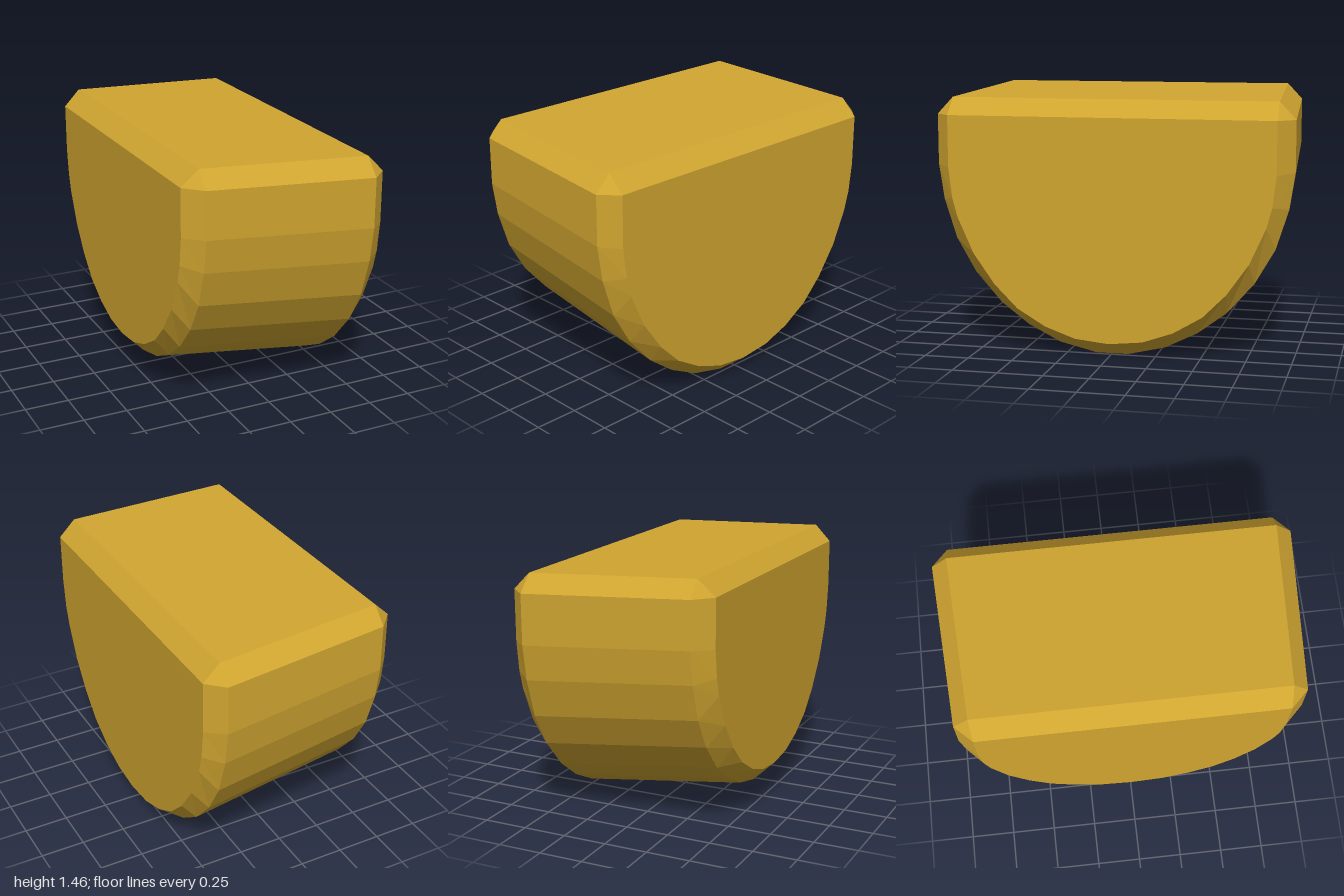
import * as THREE from 'three';

// Half outlines as [z, y], from the top corner down to the bottom centre
const RIM = [[0.91, 1.415], [1, 1.32], [1, 1.04], [0.97, 0.84], [0.9, 0.62], [0.79, 0.43],
  [0.64, 0.26], [0.48, 0.14], [0.3, 0.05], [0.09, 0], [0, 0]];
const CAP = [[0.91, 1.32], [0.91, 1.32], [0.91, 1.03], [0.89, 0.86], [0.86, 0.75], [0.77, 0.55],
  [0.65, 0.38], [0.52, 0.25], [0.36, 0.155], [0.19, 0.095], [0, 0.075]];

// Mirrored closed section at x, scaled about the shoulder height
function section(half, x, scale, shoulderY) {
  const place = ([z, y]) => {
    const k = y > 1.32 ? 0.95 : scale;
    return new THREE.Vector3(x, shoulderY + (y - 1.32) * (shoulderY === 1.32 ? 1 : k), z * scale);
  };
  const mirrored = half.slice(0, -1).reverse().map(([z, y]) => [-z, y]);
  return [...half, ...mirrored].map(place);
}

// Join sections with quads and close both ends
function loft(sections) {
  const positions = [];
  const tri = (a, b, c) => {
    const area = b.clone().sub(a).cross(c.clone().sub(a)).length();
    if (area > 1e-7) for (const p of [a, b, c]) positions.push(p.x, p.y, p.z);
  };
  const n = sections[0].length;
  for (let s = 0; s < sections.length - 1; s++) {
    const a = sections[s], b = sections[s + 1];
    for (let i = 0; i < n; i++) {
      const j = (i + 1) % n;
      tri(a[i], a[j], b[j]);
      tri(a[i], b[j], b[i]);
    }
  }
  const first = sections[0], last = sections[sections.length - 1];
  for (let i = 1; i < n - 1; i++) {
    tri(first[0], first[i + 1], first[i]);
    tri(last[0], last[i], last[i + 1]);
  }
  const geometry = new THREE.BufferGeometry();
  geometry.setAttribute('position', new THREE.Float32BufferAttribute(positions, 3));
  geometry.computeVertexNormals();
  return geometry;
}

export function createModel() {
  const group = new THREE.Group();
  group.name = 'halfRoundBlock';

  // Tapered half-round body with bevelled ends and top edges
  const material = new THREE.MeshStandardMaterial({ color: 0xd0a530, flatShading: true });
  const body = new THREE.Mesh(loft([
    section(CAP, -0.57, 0.925, 1.37),
    section(RIM, -0.475, 0.94, 1.37),
    section(RIM, 0.475, 1, 1.32),
    section(CAP, 0.57, 1, 1.32),
  ]), material);
  body.name = 'body';
  group.add(body);
  return group;
}
